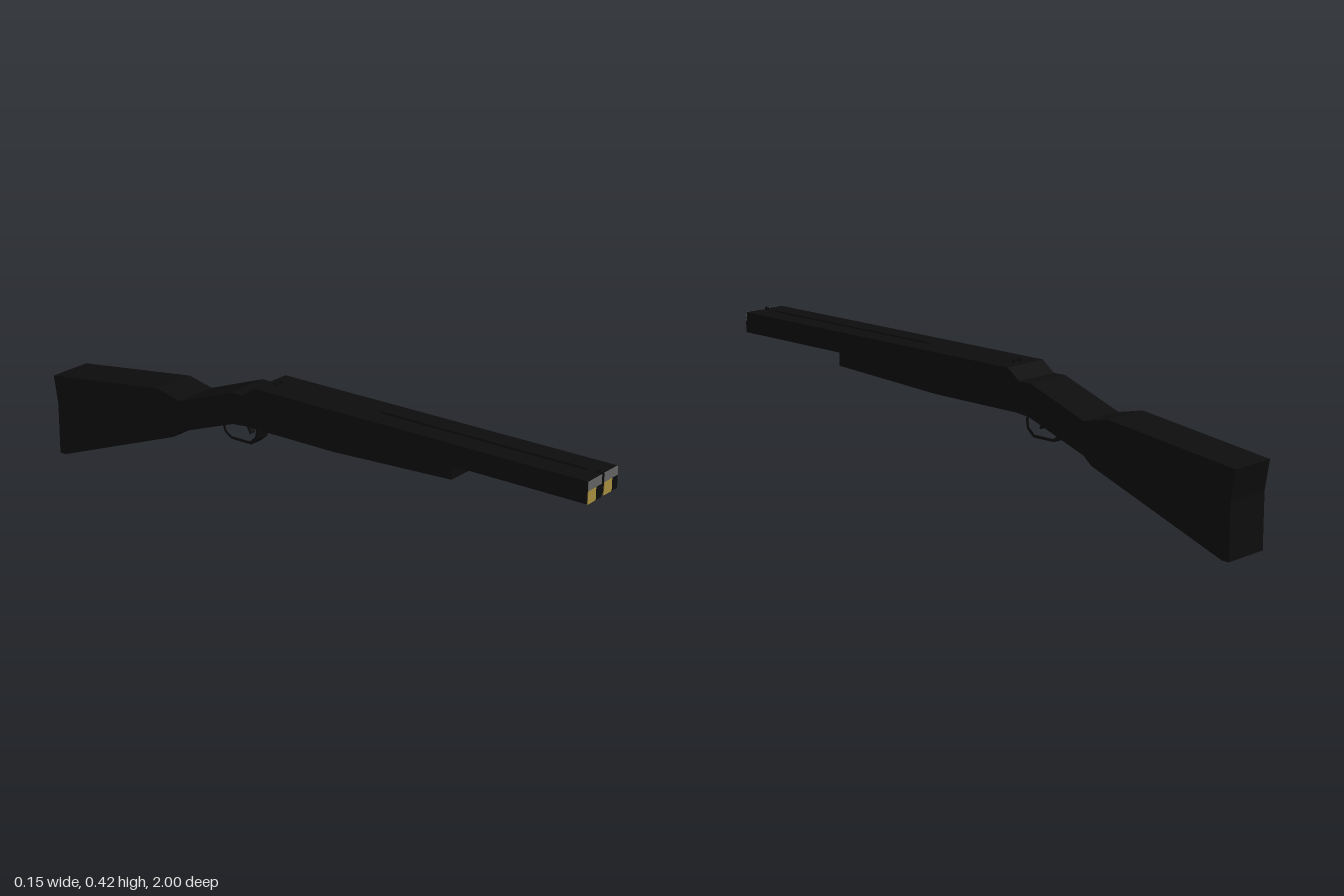
import * as THREE from 'three';

const black = new THREE.MeshStandardMaterial({ name: 'blackBody', color: 0x0d0d0d });
const grey = new THREE.MeshStandardMaterial({ name: 'greySteel', color: 0x656565 });
const gold = new THREE.MeshStandardMaterial({ name: 'brass', color: 0xab903f });

const HALF = 0.075;   // half width of the body
const GAP = 0.007;    // half width of the slot between the barrels

const points = (list) => list.map(([z, y]) => new THREE.Vector2(z, y));

// Extrudes a side profile of [z, y] points from x0 to x1
function slab(name, profile, x0, x1, hole) {
  const shape = new THREE.Shape(points(profile));
  if (hole) shape.holes.push(new THREE.Path(points(hole)));
  const geo = new THREE.ExtrudeGeometry(shape, { depth: x1 - x0, bevelEnabled: false });
  geo.rotateY(-Math.PI / 2);
  geo.translate(x1, 0, 0);
  const mesh = new THREE.Mesh(geo, black);
  mesh.name = name;
  return mesh;
}

// Box given by its limits on each axis
function block(name, x0, x1, y0, y1, z0, z1, mat) {
  const mesh = new THREE.Mesh(new THREE.BoxGeometry(x1 - x0, y1 - y0, z1 - z0), mat);
  mesh.position.set((x0 + x1) / 2, (y0 + y1) / 2, (z0 + z1) / 2);
  mesh.name = name;
  return mesh;
}

export function createModel() {
  const model = new THREE.Group();
  model.name = 'shotgun';

  // Fore-end, grip and butt in one profile
  model.add(slab('stock', [
    [0.555, 0.345], [-0.21, 0.375], [-0.255, 0.375], [-0.46, 0.3], [-0.55, 0.32],
    [-1, 0.262], [-0.985, 0.17], [-0.985, 0], [-0.962, 0], [-0.49, 0.175],
    [-0.46, 0.2], [-0.25, 0.275], [-0.2, 0.28], [0.13, 0.28], [0.555, 0.3],
  ], -HALF, HALF));

  // Twin square barrels with coloured muzzle faces
  const barrel = [[0.998, 0.342], [0.998, 0.408], [-0.165, 0.408], [-0.21, 0.375], [-0.21, 0.342]];
  for (const [side, x0] of [['right', -HALF], ['left', GAP]]) {
    const x1 = x0 + HALF - GAP;
    model.add(slab(side + 'Barrel', barrel, x0, x1));
    model.add(block(side + 'MuzzleTop', x0, x1, 0.381, 0.408, 0.996, 1, grey));
    model.add(block(side + 'MuzzleInset', x0, x0 + 0.04, 0.342, 0.381, 0.996, 1, gold));
    model.add(block(side + 'MuzzleShade', x0 + 0.04, x1, 0.342, 0.381, 0.996, 1, black));
  }

  // Rib between the barrels, sunk along the front length
  model.add(slab('rib', [
    [0.985, 0.342], [0.985, 0.408], [0.95, 0.408], [0.95, 0.396], [0.3, 0.396], [0.22, 0.408],
    [-0.165, 0.408], [-0.21, 0.375], [-0.21, 0.342],
  ], -GAP, GAP));

  // Front post and rear notch sights
  model.add(block('frontSight', -0.005, 0.005, 0.4, 0.416, 0.978, 0.988, black));
  for (const x of [-0.013, 0.012]) {
    model.add(block('rearSight', x - 0.004, x + 0.004, 0.4, 0.416, -0.136, -0.126, black));
  }

  // Trigger guard loop and trigger
  model.add(slab('triggerGuard', [
    [-0.205, 0.279], [-0.19, 0.25], [-0.195, 0.222], [-0.22, 0.2], [-0.3, 0.2],
    [-0.325, 0.217], [-0.332, 0.238], [-0.325, 0.25], [-0.25, 0.279],
  ], -0.024, 0.024, [
    [-0.213, 0.272], [-0.2, 0.25], [-0.204, 0.228], [-0.225, 0.209], [-0.298, 0.209],
    [-0.317, 0.222], [-0.322, 0.238], [-0.316, 0.245], [-0.25, 0.272],
  ]));
  model.add(slab('trigger', [
    [-0.238, 0.276], [-0.255, 0.272], [-0.25, 0.25], [-0.236, 0.225], [-0.231, 0.228], [-0.242, 0.25],
  ], -0.01, 0.01));

  return model;
}
